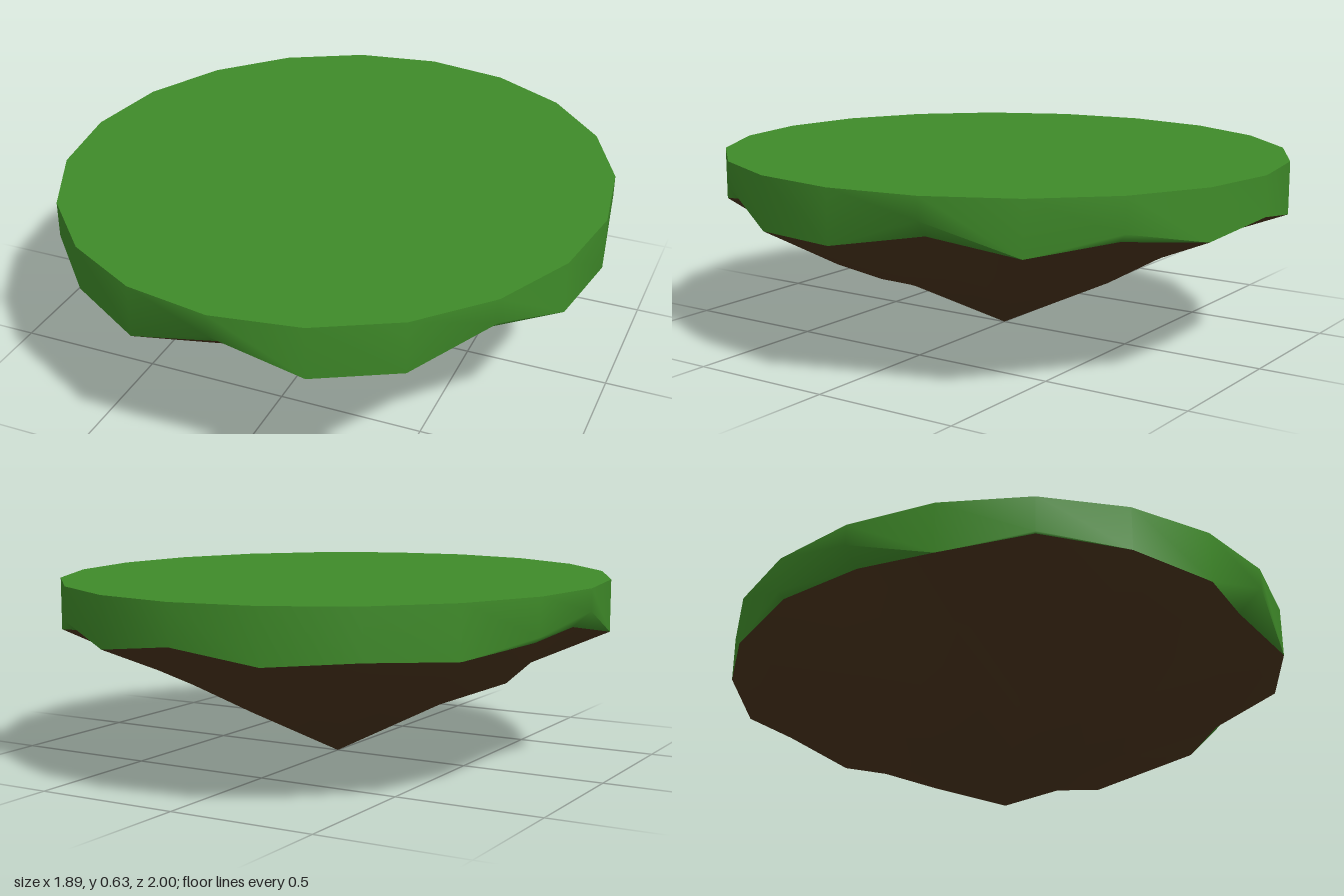
import * as THREE from 'three';

const SIDES = 20, RX = 0.945, RZ = 1, TOP = 0.635;

// Per-corner heights: bottom of the upright turf wall, and the lower edge of the grass
const WALL = [.56, .455, .455, .55, .455, .455, .56, .455, .52, .465, .5, .455, .47, .46, .51, .56, .455, .51, .48, .455];
const GRASS = [.49, .455, .455, .505, .455, .455, .5, .455, .49, .465, .5, .455, .47, .46, .49, .505, .455, .505, .48, .455];
// Uneven rock rings, per corner: [radius factor, height]
const OUTER = [
  [.72, .35], [.74, .33], [.74, .295], [.70, .35], [.72, .31], [.73, .30], [.70, .34], [.72, .33], [.70, .36], [.72, .35],
  [.70, .36], [.74, .36], [.74, .32], [.72, .31], [.70, .31], [.69, .30], [.72, .34], [.68, .36], [.72, .33], [.74, .30],
];
const INNER = [[.43, .205], [.55, .265], [.41, .195], [.44, .23], [.40, .19]];

export function createModel() {
  const island = new THREE.Group();
  island.name = 'floatingIsland';

  const grass = new THREE.MeshStandardMaterial({ color: 0x3f8b29 });
  grass.name = 'grassGreen';
  const rock = new THREE.MeshStandardMaterial({ color: 0x4a341c });
  rock.name = 'earthBrown';

  // Cross-sections from the top edge down to the tip
  const rings = [
    () => [1, TOP],
    i => [1, WALL[i]],
    i => [1 - (WALL[i] - GRASS[i]) * 1.2, GRASS[i]],
    i => OUTER[i],
    i => INNER[i % INNER.length],
    () => [0, 0],
  ];
  const points = [];
  for (const ring of rings) {
    for (let i = 0; i < SIDES; i++) {
      const a = (i / SIDES) * Math.PI * 2;
      const [r, y] = ring(i);
      points.push(RX * r * Math.sin(a), y, RZ * r * Math.cos(a));
    }
  }
  // The tip is one shared corner
  const tip = (rings.length - 1) * SIDES;

  // Triangles joining consecutive rings
  const band = (from, to) => {
    const index = [];
    for (let k = from; k < to; k++) {
      for (let i = 0; i < SIDES; i++) {
        const j = (i + 1) % SIDES;
        const a = k * SIDES + i, d = k * SIDES + j;
        if (k + 1 === rings.length - 1) {
          index.push(a, tip, d);
        } else {
          const b = a + SIDES, c = d + SIDES;
          index.push(a, b, c, a, c, d);
        }
      }
    }
    return index;
  };

  // Smooth normals run across the grass and rock together
  const whole = new THREE.BufferGeometry();
  whole.setAttribute('position', new THREE.Float32BufferAttribute(points, 3));
  whole.setIndex(band(0, rings.length - 1));
  whole.computeVertexNormals();

  const addPart = (name, from, to, material) => {
    const geometry = whole.clone();
    geometry.setIndex(band(from, to));
    const mesh = new THREE.Mesh(geometry, material);
    mesh.name = name;
    island.add(mesh);
  };
  addPart('grassRim', 0, 2, grass);
  addPart('rockUnderside', 2, rings.length - 1, rock);

  // Flat lawn
  const lawn = new THREE.Mesh(new THREE.CircleGeometry(1, SIDES, Math.PI / 2), grass);
  lawn.geometry.rotateX(-Math.PI / 2).scale(RX, 1, RZ).translate(0, TOP, 0);
  lawn.geometry.computeVertexNormals();
  lawn.name = 'lawn';
  island.add(lawn);

  return island;
}
